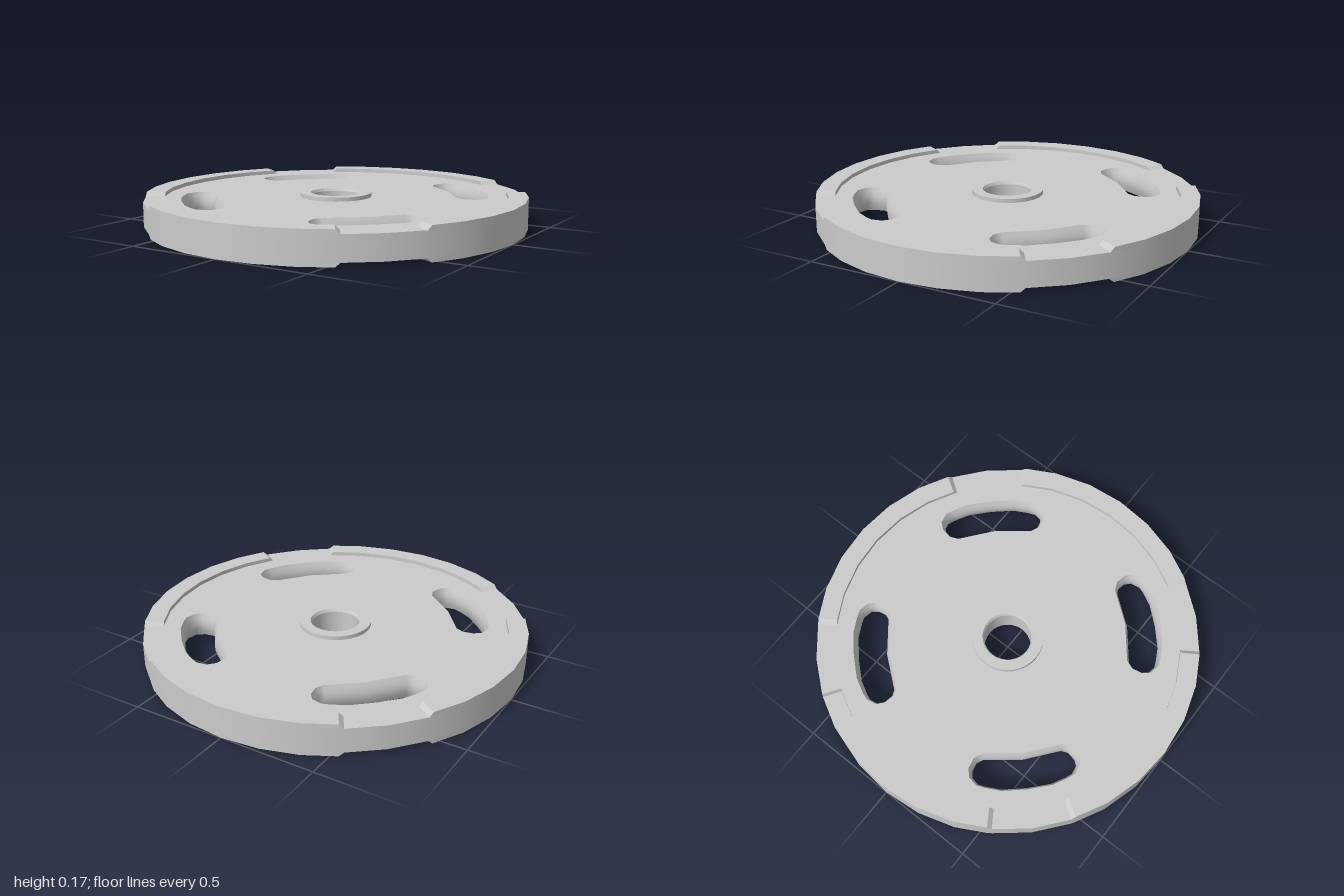
import * as THREE from 'three';
import { toCreasedNormals } from 'three/addons/utils/BufferGeometryUtils.js';

const SIDES = 32, STEP = (Math.PI * 2) / SIDES;
const HEIGHT = 0.168, LOW = 0.021, HIGH = 0.147; // full height, web faces
const HUB = 0.187, BORE = 0.123;
const material = new THREE.MeshStandardMaterial({ color: 0xcccccc });

function addMesh(parent, name, geometry) {
  const mesh = new THREE.Mesh(geometry, material);
  mesh.name = name;
  parent.add(mesh);
  return mesh;
}

const ring = (r) => Array.from({ length: SIDES }, (_, i) =>
  new THREE.Vector2(r * Math.sin(i * STEP), r * Math.cos(i * STEP)));

// Grip slot outline: half of it, mirrored across the diagonal
function slotOutline() {
  const half = [[0.44, 0.44], [0.565, 0.283], [0.61, 0.264], [0.665, 0.275], [0.7, 0.305],
    [0.71, 0.36], [0.695, 0.4], [0.655, 0.475], [0.57, 0.57]];
  const mirrored = half.slice(1, -1).reverse().map(([x, z]) => [z, x]);
  return [...half, ...mirrored].map(([x, z]) => new THREE.Vector2(x, z));
}

// Slot wall that bulges slightly inwards at mid height
function slotWall(outline) {
  const n = outline.length, levels = 6, pos = [], index = [];
  for (let l = 0; l <= levels; l++) {
    const t = l / levels, inset = 0.017 * Math.sin(Math.PI * t);
    outline.forEach((p, i) => {
      const d = outline[(i + 1) % n].clone().sub(outline[(i + n - 1) % n]).normalize();
      pos.push(p.x - d.y * inset, LOW + (HIGH - LOW) * t, p.y + d.x * inset);
      if (l < levels) {
        const a = l * n + i, b = l * n + ((i + 1) % n);
        index.push(a, b, b + n, a, b + n, a + n);
      }
    });
  }
  const g = new THREE.BufferGeometry();
  g.setAttribute('position', new THREE.Float32BufferAttribute(pos, 3));
  g.setIndex(index);
  g.computeVertexNormals();
  return g;
}

// Raised rim arc centred on +z, its ends sloping down to the web
function rimArc() {
  const point = (r, k, y) => {
    const s = Math.max(-3, Math.min(3, k));
    const end = new THREE.Vector3(r * Math.sin(s * STEP), y, r * Math.cos(s * STEP));
    if (y === HEIGHT && Math.abs(s) === 3) {
      const a = (s - Math.sign(s)) * STEP;
      end.lerp(new THREE.Vector3(r * Math.sin(a), y, r * Math.cos(a)), 0.12);
    }
    return end;
  };
  const pos = [];
  const quad = (a, b, c, d) => [a, b, c, a, c, d].forEach((p) => pos.push(p.x, p.y, p.z));
  const section = (k) => [point(0.9, k, HIGH), point(0.9, k, HEIGHT), point(1, k, HEIGHT), point(1, k, HIGH)];
  for (let k = -3; k < 3; k++) {
    const a = section(k), b = section(k + 1);
    for (let j = 0; j < 3; j++) quad(a[j], a[j + 1], b[j + 1], b[j]);
  }
  const first = section(-3), last = section(3);
  quad(first[3], first[2], first[1], first[0]);
  quad(last[0], last[1], last[2], last[3]);
  const g = new THREE.BufferGeometry();
  g.setAttribute('position', new THREE.Float32BufferAttribute(pos, 3));
  return toCreasedNormals(g, 0.4);
}

export function createModel() {
  const model = new THREE.Group();
  model.name = 'weightPlate';

  // Web faces with four slots and the hub opening
  const outline = slotOutline();
  const shape = new THREE.Shape(ring(1));
  shape.holes.push(new THREE.Path(ring(HUB)));
  for (let k = 0; k < 4; k++) {
    const turned = outline.map((p) => p.clone().rotateAround(new THREE.Vector2(), (k * Math.PI) / 2));
    shape.holes.push(new THREE.Path(turned));
  }
  const face = new THREE.ShapeGeometry(shape);
  addMesh(model, 'webTop', face.clone().rotateX(-Math.PI / 2).translate(0, HIGH, 0));
  addMesh(model, 'webBottom', face.clone().rotateX(Math.PI / 2).translate(0, LOW, 0));

  // Outer edge
  const edge = new THREE.CylinderGeometry(1, 1, HIGH - LOW, SIDES, 1, true);
  addMesh(model, 'outerEdge', edge.translate(0, HEIGHT / 2, 0));

  // Slot walls and rim arcs, four around on both faces
  const wall = slotWall(outline), arc = rimArc();
  for (let k = 0; k < 4; k++) {
    const turn = (k * Math.PI) / 2;
    addMesh(model, 'slotWall', wall).rotation.y = turn;
    addMesh(model, 'rimArcTop', arc).rotation.y = turn;
    const under = addMesh(model, 'rimArcBottom', arc);
    under.rotation.set(Math.PI, turn, 0);
    under.position.y = HEIGHT;
  }

  // Hub collar with a slightly chamfered bore
  const profile = [[BORE + 0.008, HEIGHT], [BORE, HEIGHT - 0.015], [BORE, 0.015], [BORE + 0.008, 0],
    [HUB, 0], [HUB, HEIGHT], [BORE + 0.008, HEIGHT]].map(([r, y]) => new THREE.Vector2(r, y));
  addMesh(model, 'hub', toCreasedNormals(new THREE.LatheGeometry(profile, SIDES), 0.4));

  return model;
}
